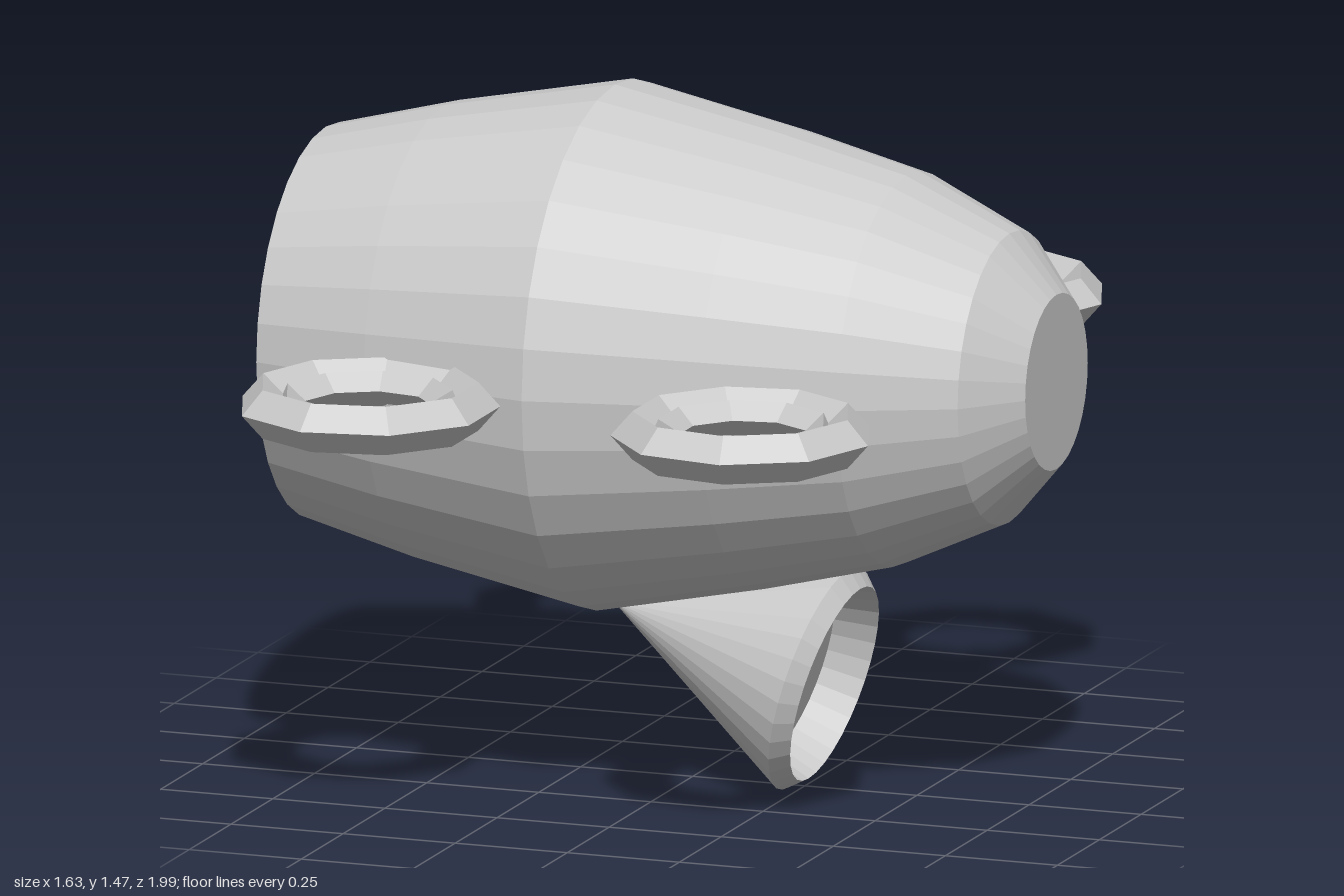
import * as THREE from 'three';

const material = new THREE.MeshStandardMaterial({ color: 0xcccccc, flatShading: true });

// Faceted solid of revolution from [radius, height] pairs
function turned(name, profile, sides, phi = 0) {
  const points = profile.map(([r, h]) => new THREE.Vector2(r, h));
  const mesh = new THREE.Mesh(new THREE.LatheGeometry(points, sides, phi), material);
  mesh.name = name;
  return mesh;
}

export function createModel() {
  const model = new THREE.Group();
  model.name = 'barrelShip';

  // Barrel hull along x, with a recessed rear and a flat nose
  const hull = turned('hull', [
    [0, -0.535], [0.33, -0.535], [0.415, -0.815], [0.483, -0.55], [0.558, -0.17],
    [0.483, 0.2], [0.415, 0.48], [0.31, 0.71], [0.187, 0.815], [0, 0.815],
  ], 32);
  hull.rotation.z = -Math.PI / 2;
  hull.position.set(0, 0.922, 0.01);
  model.add(hull);

  // Cone under the hull, tilted down, with a lip and a recessed mouth
  const cone = turned('bellyCone', [
    [0, -0.476], [0.248, 0], [0.216, 0.035], [0.19, -0.055], [0, -0.055],
  ], 32);
  cone.rotation.z = -Math.PI / 2 - 0.27;
  cone.position.set(0.29, 0.246, 0.02);
  model.add(cone);

  // Four nine-sided side rings, each with a smaller ring set inside
  const ringProfile = [
    [0.138, 0], [0.178, -0.035], [0.188, -0.012], [0.232, -0.052], [0.278, 0],
    [0.232, 0.052], [0.188, 0.012], [0.178, 0.035], [0.138, 0],
  ];
  for (const side of [1, -1]) {
    const front = turned('frontRing', ringProfile, 9, Math.PI / 2);
    front.position.set(0.375, 0.922, side * 0.697 + 0.005);
    const rear = turned('rearRing', ringProfile, 9, -Math.PI / 2);
    rear.position.set(-0.456, 0.922, side * 0.723);
    model.add(front, rear);
  }
  return model;
}
